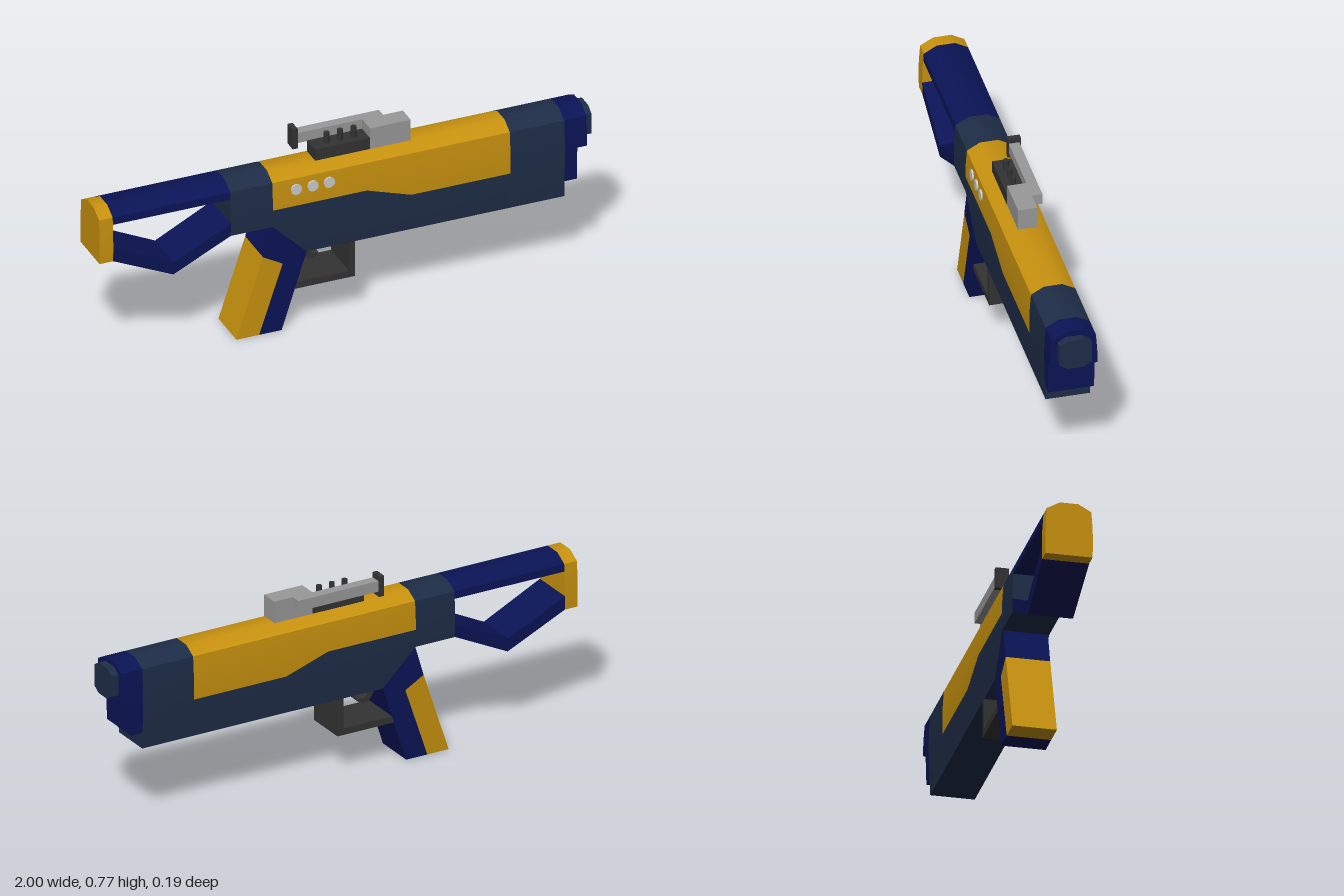
import * as THREE from 'three';
import { toCreasedNormals } from 'three/addons/utils/BufferGeometryUtils.js';

const paint = (color) => new THREE.MeshStandardMaterial({ color });
const slate = paint(0x1e2d47), navy = paint(0x0b1456), gold = paint(0xc8920f);
const dark = paint(0x333333), grey = paint(0x999999);

// Shared hull cross-section: [height, half width]
const SECTION = [[0.315, 0.085], [0.42, 0.089], [0.51, 0.091], [0.57, 0.09], [0.64, 0.085], [0.668, 0.035]];

function halfWidth(y) {
  if (y <= SECTION[0][0]) return SECTION[0][1];
  for (let i = 1; i < SECTION.length; i++) {
    const [ya, wa] = SECTION[i - 1], [yb, wb] = SECTION[i];
    if (y <= yb) return wa + (wb - wa) * (y - ya) / (yb - ya);
  }
  return SECTION[SECTION.length - 1][1];
}

// Lofts stations [x, bottom, top] along x, following the hull cross-section
function hullGeometry(stations) {
  const rings = stations.map(([x, lo, hi]) => {
    const ys = [lo, ...SECTION.map(([y]) => Math.min(hi, Math.max(lo, y))), hi];
    const side = ys.map((y) => new THREE.Vector3(x, y, halfWidth(y)));
    const back = side.map((p) => new THREE.Vector3(p.x, p.y, -p.z)).reverse();
    return [...side, ...back];
  });
  const pos = [];
  const tri = (a, b, c) => {
    if (new THREE.Triangle(a, b, c).getArea() > 1e-8) {
      for (const p of [a, b, c]) pos.push(p.x, p.y, p.z);
    }
  };
  const n = rings[0].length, first = rings[0], last = rings[rings.length - 1];
  for (let i = 0; i + 1 < rings.length; i++) {
    for (let k = 0; k < n; k++) {
      const m = (k + 1) % n, p = rings[i], q = rings[i + 1];
      tri(p[k], q[k], q[m]);
      tri(p[k], q[m], p[m]);
    }
  }
  for (let k = 1; k + 1 < n; k++) {
    tri(first[0], first[k], first[k + 1]);
    tri(last[0], last[k + 1], last[k]);
  }
  const geo = new THREE.BufferGeometry();
  geo.setAttribute('position', new THREE.Float32BufferAttribute(pos, 3));
  return toCreasedNormals(geo, 0.6);
}

// Extrudes a side profile, centred on z = 0
function plateGeometry(points, depth) {
  const shape = new THREE.Shape(points.map(([x, y]) => new THREE.Vector2(x, y)));
  return new THREE.ExtrudeGeometry(shape, { depth, bevelEnabled: false }).translate(0, 0, -depth / 2);
}

// Box given by its limits on each axis
function boxGeometry([x0, x1], [y0, y1], [z0, z1]) {
  return new THREE.BoxGeometry(x1 - x0, y1 - y0, z1 - z0)
    .translate((x0 + x1) / 2, (y0 + y1) / 2, (z0 + z1) / 2);
}

export function createModel() {
  const model = new THREE.Group();
  const add = (name, geometry, material) => {
    const mesh = new THREE.Mesh(geometry, material);
    mesh.name = name;
    model.add(mesh);
    return mesh;
  };
  const top = 0.668;

  // Body
  add('rearBody', hullGeometry([[-0.47, 0.455, top], [-0.3, 0.455, top]]), slate);
  add('lowerBody', hullGeometry([[-0.3, 0.455, 0.525], [-0.16, 0.315, 0.525], [0.08, 0.315, 0.525],
    [0.26, 0.465, 0.465].map((v, i) => (i === 1 ? 0.315 : v)), [0.66, 0.315, 0.465]]), slate);
  add('frontBody', hullGeometry([[0.66, 0.315, top], [0.88, 0.315, top]]), slate);
  add('upperPanel', hullGeometry([[-0.3, 0.525, top], [0.08, 0.525, top],
    [0.26, 0.465, top], [0.66, 0.465, top]]), gold);
  for (const x of [-0.205, -0.138, -0.072]) {
    add('panelStud', new THREE.CylinderGeometry(0.022, 0.022, 0.02, 16).rotateX(Math.PI / 2), paint(0xcccccc))
      .position.set(x, 0.595, 0.084);
  }

  // Nose and muzzle
  add('noseLower', hullGeometry([[0.88, 0.38, 0.515], [0.93, 0.38, 0.515]]), navy);
  add('noseUpper', hullGeometry([[0.88, 0.515, top], [0.97, 0.515, top]]), navy);
  const muzzle = [[-0.03, 0.525], [0.03, 0.525], [0.062, 0.545], [0.062, 0.63],
    [0.03, 0.65], [-0.03, 0.65], [-0.062, 0.63], [-0.062, 0.545]];
  add('muzzle', plateGeometry(muzzle, 0.03).rotateY(Math.PI / 2).translate(0.985, 0, 0), slate);

  // Open stock
  add('stockRail', hullGeometry([[-0.945, 0.61, top], [-0.47, 0.61, top]]), navy);
  add('stockStrut', hullGeometry([[-0.945, 0.455, 0.51], [-0.7, 0.34, 0.393], [-0.47, 0.455, 0.508]]), navy);
  add('buttPlate', hullGeometry([[-1, 0.455, top], [-0.945, 0.455, top]]), gold);

  // Grip
  add('gripFront', plateGeometry([[-0.3, 0.455], [-0.337, 0.33], [-0.258, 0.285], [-0.353, 0],
    [-0.262, 0], [-0.16, 0.318]], 0.17), navy);
  add('gripBack', plateGeometry([[-0.445, 0], [-0.353, 0], [-0.258, 0.285], [-0.337, 0.33]], 0.17), gold);

  // Trigger and guard
  add('triggerGuard', plateGeometry([[-0.212, 0.165], [0.035, 0.165], [0.035, 0.316], [0.01, 0.316],
    [0.01, 0.192], [-0.202, 0.192]], 0.17), dark);
  add('trigger', plateGeometry([[-0.16, 0.316], [-0.155, 0.275], [-0.135, 0.248], [-0.11, 0.242], [-0.088, 0.255],
    [-0.088, 0.264], [-0.112, 0.26], [-0.13, 0.275], [-0.135, 0.316]], 0.05), dark);

  // Sight
  add('sightBase', boxGeometry([-0.107, 0.115], [0.665, 0.715], [-0.037, 0.037]), dark);
  add('sightBlock', boxGeometry([0.115, 0.28], [0.665, 0.755], [-0.037, 0.037]), grey);
  add('sightRail', boxGeometry([-0.15, 0.2], [0.712, 0.755], [-0.077, -0.037]), grey);
  add('sightEndPlate', boxGeometry([-0.167, -0.146], [0.692, 0.775], [-0.083, -0.033]), dark);
  for (const x of [-0.045, 0.01, 0.065]) {
    add('sightPeg', new THREE.CylinderGeometry(0.011, 0.011, 0.045, 10), dark).position.set(x, 0.735, 0);
  }
  return model;
}
